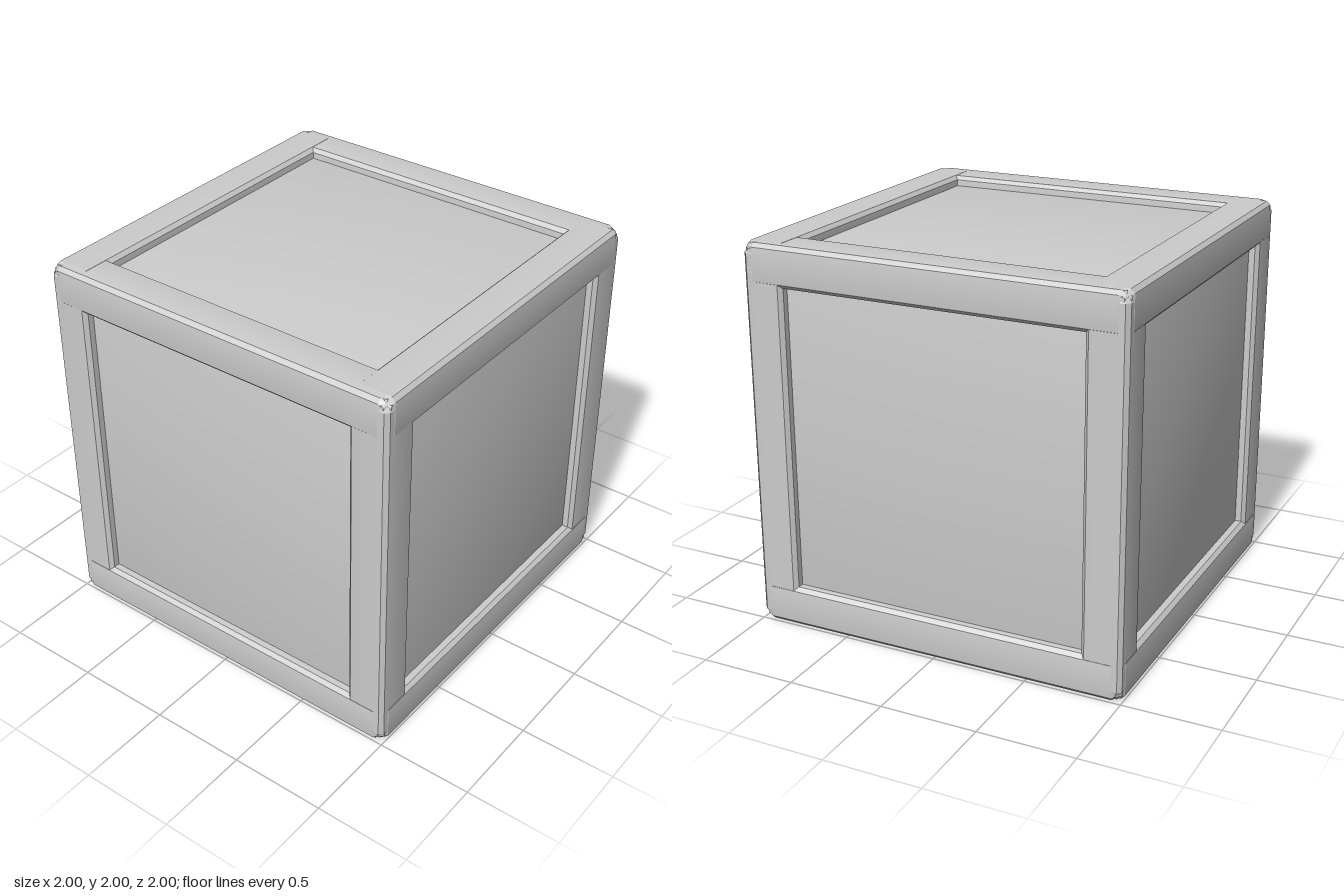
import * as THREE from 'three';

const OUTER = 1;        // half size of the crate
const WIDTH = 0.21;     // beam thickness
const CHAMFER = 0.02;   // beam edge bevel
const TAPER = 0.05;     // length of the tapered beam ends

// Tilts normals a little away from the centre for a soft, pillowed shading.
function softenNormals(geometry, kx, ky, kz) {
  const p = geometry.attributes.position;
  const n = geometry.attributes.normal;
  const v = new THREE.Vector3();
  for (let i = 0; i < p.count; i++) {
    v.fromBufferAttribute(n, i);
    v.x += p.getX(i) * kx;
    v.y += p.getY(i) * ky;
    v.z += p.getZ(i) * kz;
    v.normalize();
    n.setXYZ(i, v.x, v.y, v.z);
  }
  return geometry;
}

// Chamfered square beam along z with tapered ends, centred on the origin.
function beamGeometry() {
  const h = WIDTH / 2;
  const c = h - CHAMFER;
  const outline = [[h, -c], [h, c], [c, h], [-c, h], [-h, c], [-h, -c], [-c, -h], [c, -h]];
  const shape = new THREE.Shape(outline.map(([x, y]) => new THREE.Vector2(x, y)));
  const depth = 2 * (0.995 - TAPER);
  const geometry = new THREE.ExtrudeGeometry(shape, {
    depth,
    bevelEnabled: true,
    bevelThickness: TAPER,
    bevelSize: 0.03,
    bevelOffset: -0.03,
    bevelSegments: 1,
  });
  geometry.translate(0, 0, -depth / 2);
  return softenNormals(geometry, 0.15 / h, 0.15 / h, 0);
}

export function createModel() {
  const model = new THREE.Group();
  model.name = 'crate';
  const grey = new THREE.MeshStandardMaterial({ color: 0xcccccc });
  grey.name = 'light grey';

  // Inner box forming the six recessed panels
  const core = new THREE.BoxGeometry(1.89, 1.89, 1.89, 4, 4, 4);
  const panels = new THREE.Mesh(softenNormals(core, 0.15, 0.15, 0.15), grey);
  panels.name = 'panels';
  panels.position.y = OUTER;
  model.add(panels);

  // Twelve frame beams, four per axis; tiny insets decide which lies on top at the corners
  const beam = beamGeometry();
  const axes = [
    { name: 'crossBeam', rotation: [0, Math.PI / 2, 0], inset: 0 },
    { name: 'sideBeam', rotation: [0, 0, 0], inset: 0.001 },
    { name: 'cornerPost', rotation: [Math.PI / 2, 0, 0], inset: 0.002 },
  ];
  for (const { name, rotation, inset } of axes) {
    const frame = new THREE.Group();
    frame.name = name + 's';
    frame.rotation.set(...rotation);
    frame.position.y = OUTER;
    const offset = OUTER - WIDTH / 2 - inset;
    for (const sx of [-1, 1]) {
      for (const sy of [-1, 1]) {
        const mesh = new THREE.Mesh(beam, grey);
        mesh.name = name;
        mesh.position.set(sx * offset, sy * offset, 0);
        frame.add(mesh);
      }
    }
    model.add(frame);
  }
  return model;
}
